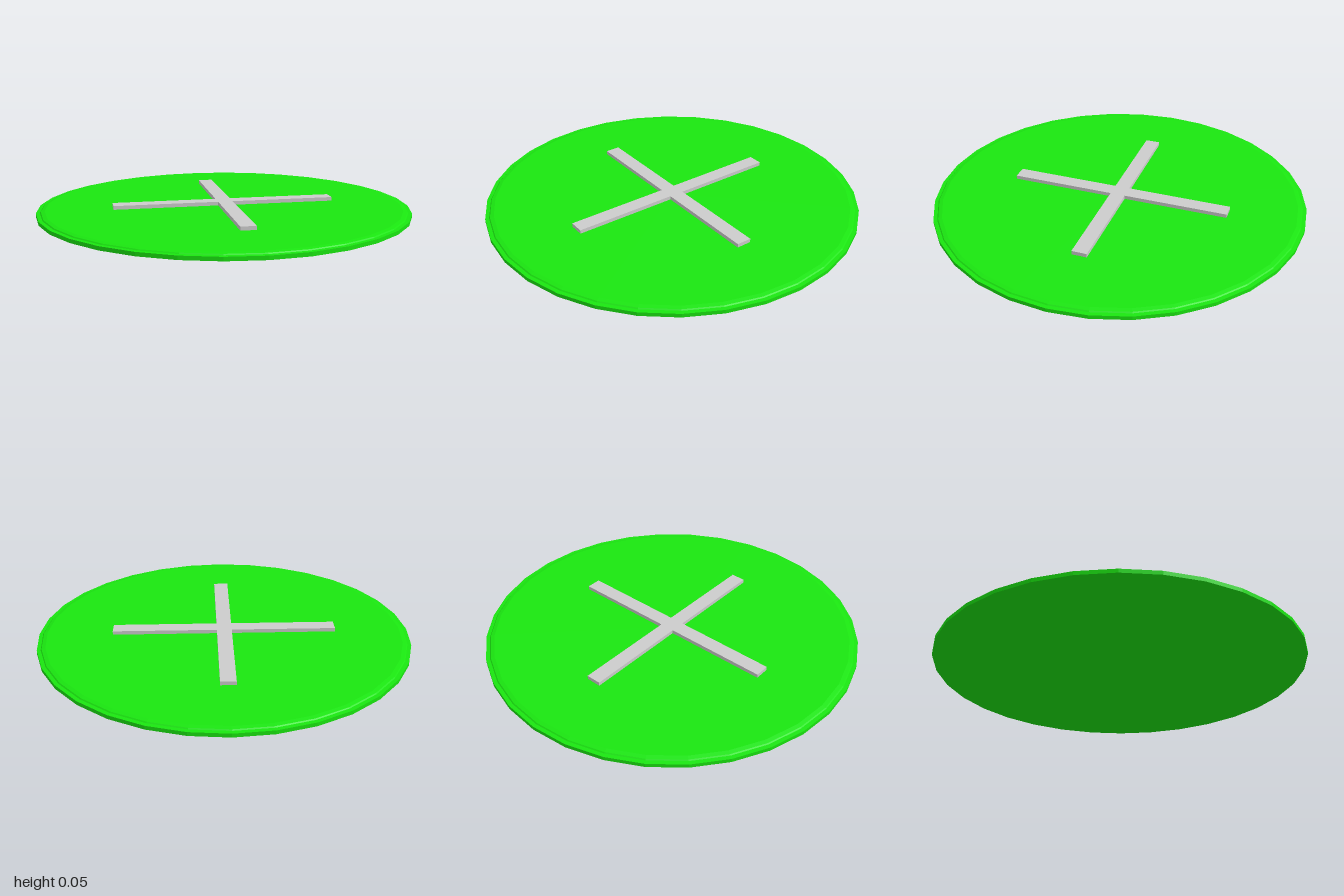
import * as THREE from 'three';

export function createModel() {
  const group = new THREE.Group();
  const green = new THREE.MeshStandardMaterial({ color: 0x1ae610, flatShading: true });
  const grey = new THREE.MeshStandardMaterial({ color: 0xcccccc, flatShading: true });

  // Round base with a stepped, chamfered rim
  const profile = [[0, 0], [1, 0], [1, 0.02], [0.98, 0.021], [0.975, 0.026], [0.955, 0.03], [0, 0.03]]
    .map(([r, y]) => new THREE.Vector2(r, y));
  const base = new THREE.Mesh(new THREE.LatheGeometry(profile, 32), green);
  base.name = 'base';
  group.add(base);

  // Raised cross: one arm outline repeated in four quarter turns
  const L = 0.6, w = 0.04;
  const corners = [];
  for (let i = 0; i < 4; i++) {
    const turn = i * Math.PI / 2;
    for (const [x, y] of [[L, -w], [L, w], [w, w]]) {
      corners.push(new THREE.Vector2(x, y).rotateAround(new THREE.Vector2(), turn));
    }
  }
  const crossGeometry = new THREE.ExtrudeGeometry(new THREE.Shape(corners), { depth: 0.03, bevelEnabled: false });
  crossGeometry.rotateX(-Math.PI / 2);
  const cross = new THREE.Mesh(crossGeometry, grey);
  cross.name = 'cross';
  cross.position.y = 0.02;
  group.add(cross);

  return group;
}
